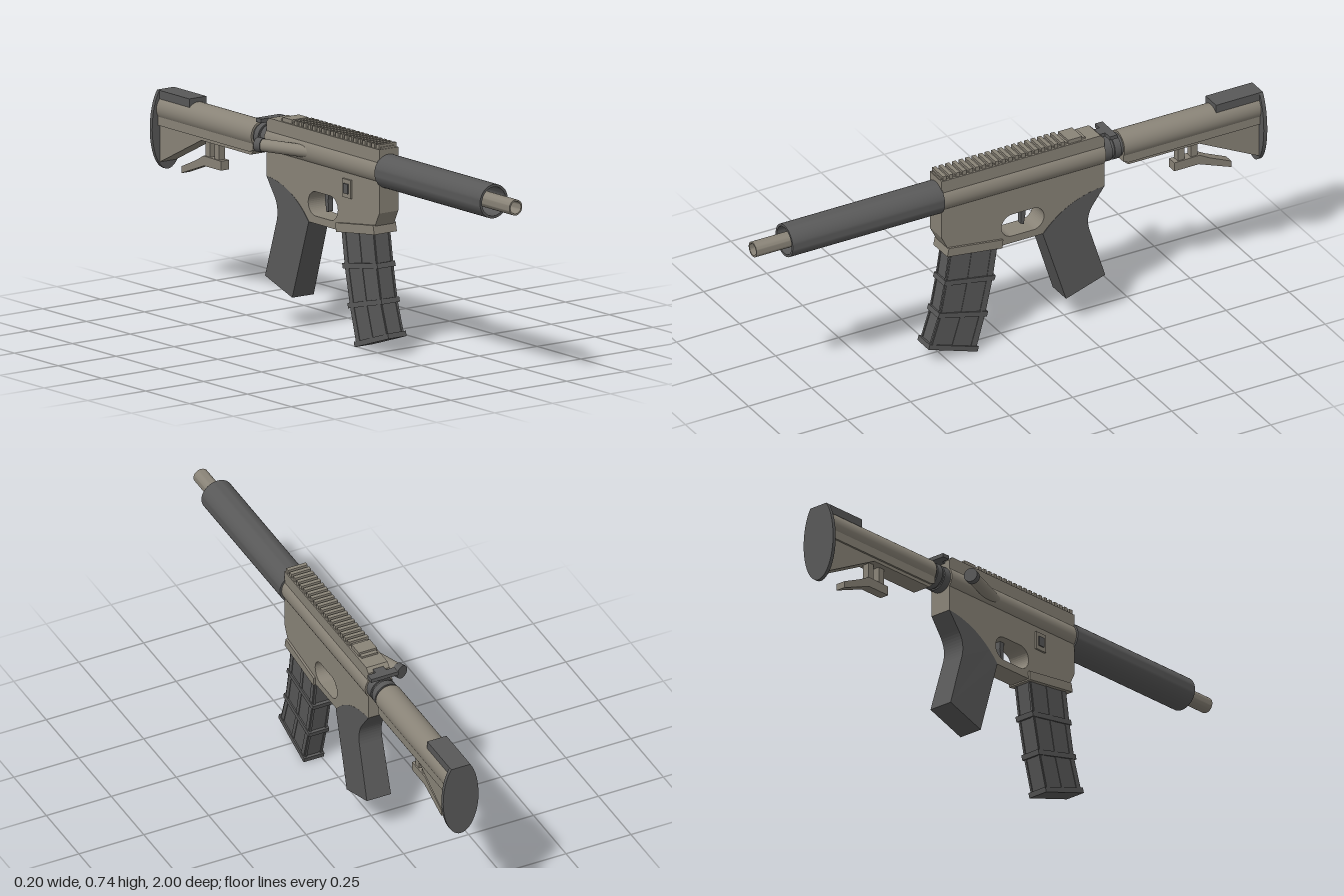
import * as THREE from 'three';
import { toCreasedNormals } from 'three/addons/utils/BufferGeometryUtils.js';

const CX = 0.03;     // centre plane of the body
const AXIS_Y = 0.65; // height of the barrel axis

export function createModel() {
  const model = new THREE.Group();
  const tan = new THREE.MeshStandardMaterial({ color: 0x8a8478 });
  tan.name = 'warm grey';
  const dark = new THREE.MeshStandardMaterial({ color: 0x595959 });
  dark.name = 'dark grey';

  const add = (name, geometry, material, parent = model) => {
    const mesh = new THREE.Mesh(geometry, material);
    mesh.name = name;
    parent.add(mesh);
    return mesh;
  };
  const group = (name) => {
    const g = new THREE.Group();
    g.name = name;
    model.add(g);
    return g;
  };
  // Side profile of [z, y] points, extruded evenly about the plane x = cx
  const toShape = (pts) => new THREE.Shape(pts.map(([z, y]) => new THREE.Vector2(z, y)));
  const slab = (shape, half, cx = CX) => {
    const s = Array.isArray(shape) ? toShape(shape) : shape;
    const g = new THREE.ExtrudeGeometry(s, { depth: half * 2, bevelEnabled: false, curveSegments: 10 });
    return g.rotateY(-Math.PI / 2).translate(cx + half, 0, 0);
  };
  const box = (w, y0, y1, z0, z1, cx = CX) =>
    new THREE.BoxGeometry(w, y1 - y0, Math.abs(z1 - z0)).translate(cx, (y0 + y1) / 2, (z0 + z1) / 2);
  const rod = (r, z0, z1, y = AXIS_Y) =>
    new THREE.CylinderGeometry(r, r, Math.abs(z1 - z0), 40).rotateX(Math.PI / 2).translate(CX, y, (z0 + z1) / 2);
  // Closed ring section [radius, z] turned about the barrel axis
  const turned = (pts) => toCreasedNormals(
    new THREE.LatheGeometry(pts.map(([r, z]) => new THREE.Vector2(r, z)), 40), 0.6,
  ).rotateX(Math.PI / 2).translate(CX, AXIS_Y, 0);

  // Barrel and hollow handguard
  add('barrel', turned([[0.028, 0.25], [0.028, 1], [0.022, 1], [0.022, 0.93], [0, 0.93]]), tan);
  add('handguard', turned([[0.06, 0.272], [0.06, 0.875], [0.051, 0.875], [0.051, 0.272], [0.06, 0.272]]), dark);

  // Receiver with trigger opening
  const body = new THREE.Shape();
  body.moveTo(0.275, 0.73);
  body.lineTo(0.275, 0.505);
  body.lineTo(0.25, 0.455);
  body.lineTo(0.04, 0.405);
  body.lineTo(-0.125, 0.405);
  body.quadraticCurveTo(-0.22, 0.515, -0.37, 0.525);
  body.lineTo(-0.37, 0.715);
  body.lineTo(-0.355, 0.73);
  body.closePath();
  const hole = new THREE.Path();
  hole.absarc(-0.005, 0.475, 0.043, -Math.PI / 2, Math.PI / 2, false);
  hole.absarc(-0.088, 0.475, 0.043, Math.PI / 2, Math.PI * 1.5, false);
  hole.closePath();
  body.holes.push(hole);
  add('receiver', slab(body, 0.041), tan);
  add('receiverTube', rod(0.053, 0.274, -0.37), tan);
  add('trigger', slab([[-0.05, 0.53], [-0.058, 0.49], [-0.056, 0.45], [-0.068, 0.445],
    [-0.076, 0.49], [-0.074, 0.53]], 0.01), dark);
  add('magazineCollar', slab([[0.25, 0.46], [0.035, 0.432], [0.038, 0.4], [0.257, 0.428]], 0.049), tan);

  // Catch on the side of the receiver
  const catchGroup = group('sideCatch');
  add('catchPlate', box(0.012, 0.53, 0.595, 0.07, 0.12, -0.012), tan, catchGroup);
  add('catchButton', box(0.012, 0.545, 0.58, 0.082, 0.108, -0.016), dark, catchGroup);

  // Top rail
  const rail = group('topRail');
  add('railBase', box(0.062, 0.72, 0.737, 0.272, -0.3), tan, rail);
  for (let i = 0; i < 19; i++) {
    const z = 0.268 - i * 0.026;
    add('railTooth', box(0.075, 0.73, 0.746, z, z - 0.015), tan, rail);
  }
  add('railRearPlate', box(0.07, 0.73, 0.745, -0.23, -0.285), tan, rail);

  // Charging handle
  const handle = group('chargingHandle');
  add('handleStem', box(0.04, 0.708, 0.722, -0.34, -0.4), dark, handle);
  add('handleBar', box(0.104, 0.708, 0.722, -0.385, -0.415), dark, handle);

  // Angled plunger on the side
  const plunger = group('sidePlunger');
  const a = new THREE.Vector3(0.005, AXIS_Y, -0.11);
  const b = new THREE.Vector3(-0.077, AXIS_Y, -0.335);
  const dir = b.clone().sub(a).normalize();
  const turn = new THREE.Quaternion().setFromUnitVectors(new THREE.Vector3(0, 1, 0), dir);
  const length = a.distanceTo(b);
  const angled = (r, from, to) => new THREE.CylinderGeometry(r, r, to - from, 28)
    .translate(0, (from + to) / 2, 0).applyQuaternion(turn).translate(a.x, a.y, a.z);
  add('plungerShaft', angled(0.022, 0, length - 0.02), tan, plunger);
  add('plungerCap', angled(0.025, length - 0.025, length), dark, plunger);

  // Pistol grip, widening slightly downward
  const gripShape = new THREE.Shape();
  gripShape.moveTo(-0.125, 0.405);
  gripShape.lineTo(-0.215, 0.122);
  gripShape.lineTo(-0.37, 0.173);
  gripShape.lineTo(-0.312, 0.36);
  gripShape.quadraticCurveTo(-0.29, 0.42, -0.325, 0.465);
  gripShape.lineTo(-0.37, 0.525);
  gripShape.quadraticCurveTo(-0.22, 0.515, -0.125, 0.405);
  const grip = slab(gripShape, 0.0465);
  const p = grip.attributes.position;
  for (let i = 0; i < p.count; i++) {
    const t = THREE.MathUtils.clamp((p.getY(i) - 0.25) / 0.26, 0, 1);
    p.setX(i, CX + (p.getX(i) - CX) * (1 - 0.11 * t));
  }
  grip.computeVertexNormals();
  add('grip', grip, dark);

  // Curved magazine: front and back edges in [z, y], ribs run between them
  const magazine = group('magazine');
  const front = [[0.238, 0.435], [0.258, 0.307], [0.282, 0.185], [0.32, 0.07]];
  const back = [[0.05, 0.405], [0.07, 0.275], [0.1, 0.14], [0.137, 0.01]];
  const mix = (u, v, t) => [u[0] + (v[0] - u[0]) * t, u[1] + (v[1] - u[1]) * t];
  const strip = (f0, f1, half) => slab([
    ...front.map((q, i) => mix(q, back[i], f0)),
    ...front.map((q, i) => mix(q, back[i], f1)).reverse(),
  ], half);
  add('magazineCore', strip(0.02, 0.98, 0.031), dark, magazine);
  for (const [f0, f1] of [[0.03, 0.13], [0.46, 0.55], [0.87, 0.97]]) {
    add('magazineRib', strip(f0, f1, 0.036), dark, magazine);
  }
  for (const side of [-1, 1]) {
    add('magazineCorner', strip(0, 1, 0.004).translate(side * 0.03, 0, 0), dark, magazine);
  }
  for (let i = 1; i < 4; i++) {
    const f = mix(front[i], back[i], -0.03);
    const k = mix(front[i], back[i], 1.03);
    const [dz, dy] = [-0.005, 0.018];
    add(i < 3 ? 'magazineBand' : 'magazineFoot',
      slab([f, k, [k[0] + dz, k[1] + dy], [f[0] + dz, f[1] + dy]], 0.039), dark, magazine);
  }

  // Stock
  const stock = group('stock');
  add('bufferTube', rod(0.042, -0.36, -0.46), dark, stock);
  add('bufferRing', rod(0.047, -0.37, -0.4), dark, stock);
  add('bufferNut', rod(0.047, -0.41, -0.435), dark, stock);
  add('stockTube', rod(0.05, -0.445, -0.99), tan, stock);
  add('stockBody', slab([[-0.445, 0.65], [-0.445, 0.6], [-0.468, 0.58], [-0.75, 0.58],
    [-0.99, 0.46], [-0.99, 0.65]], 0.035), tan, stock);
  add('stockLedge', slab([[-0.445, 0.625], [-0.445, 0.6], [-0.465, 0.592], [-0.99, 0.592],
    [-0.99, 0.625]], 0.042), tan, stock);
  add('cheekRest', box(0.074, 0.685, 0.715, -0.815, -0.99), dark, stock);

  // Adjusting lever under the stock
  add('stockLever', slab([[-0.66, 0.52], [-0.66, 0.487], [-0.757, 0.487], [-0.886, 0.438],
    [-0.886, 0.462], [-0.8, 0.5], [-0.76, 0.522]], 0.018), tan, stock);
  for (const z of [-0.69, -0.742]) {
    add('leverPost', box(0.026, 0.51, 0.59, z - 0.013, z + 0.013), tan, stock);
  }

  // Butt plate: oval with a flat top
  const plate = [];
  const cut = Math.asin(0.135 / 0.16);
  for (let i = 0; i <= 40; i++) {
    const t = Math.PI - cut + (i / 40) * (Math.PI + 2 * cut);
    const s = Math.sin(t);
    plate.push(new THREE.Vector2(0.068 * Math.cos(t), 0.58 + s * (s > 0 ? 0.16 : 0.146)));
  }
  add('buttPlate', new THREE.ExtrudeGeometry(new THREE.Shape(plate), { depth: 0.014, bevelEnabled: false })
    .translate(CX, 0, -1), dark, stock);

  return model;
}
